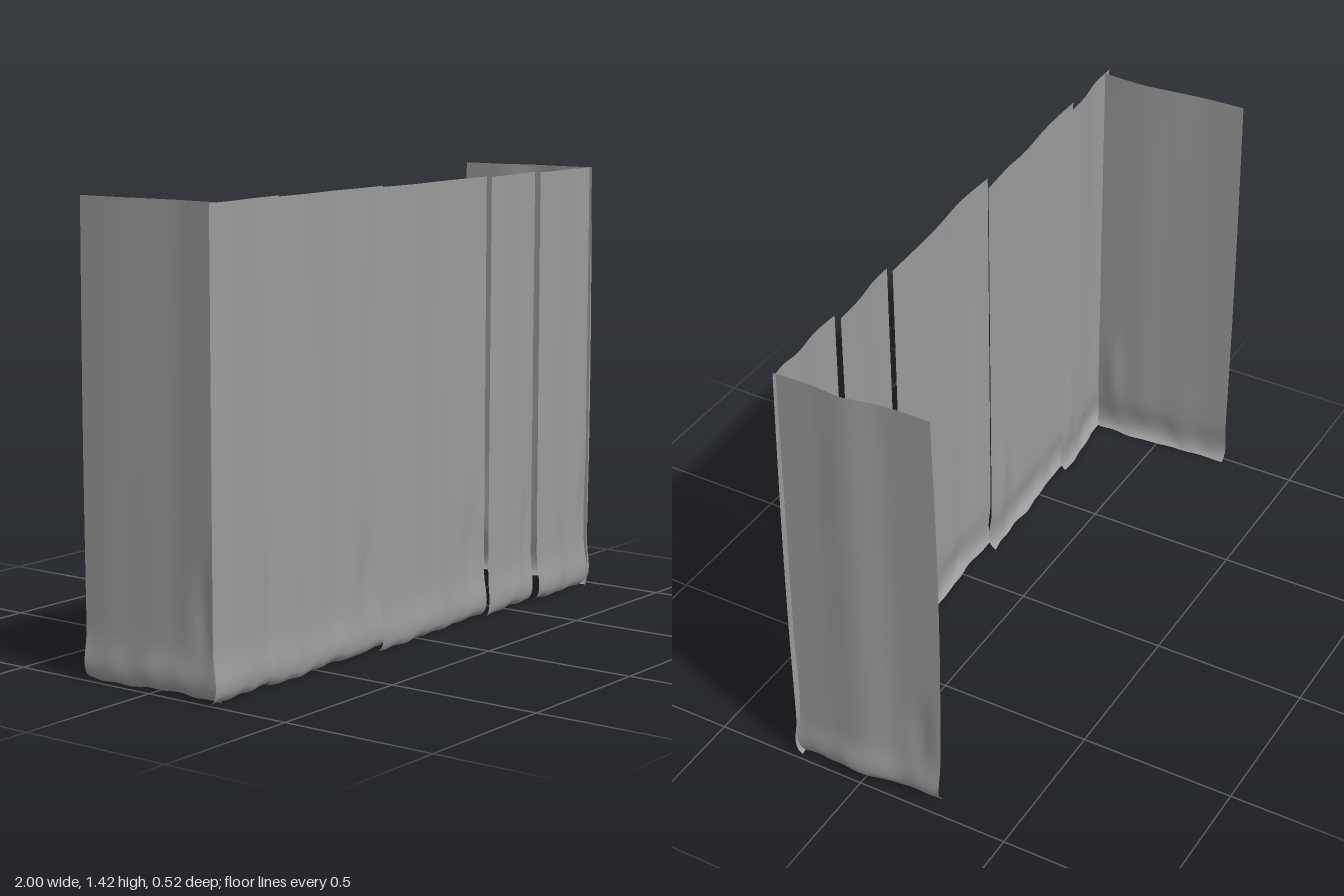
import * as THREE from 'three';

const HEIGHT = 1.42;
const material = new THREE.MeshStandardMaterial({ color: 0x9b9b9b, side: THREE.DoubleSide });

// Hanging sheet: a plan path [x, z] dropped to the floor, with folds growing downwards.
// Path runs so that its outward side is on the right hand when seen from above.
// The sags let the leading and trailing edges belly outwards halfway down.
function hangingPanel(name, points, seed, leadSag = 0, trailSag = 0) {
  const curve = new THREE.CatmullRomCurve3(points.map(([x, z]) => new THREE.Vector3(x, 0, z)));
  const along = curve.getPointAt(1).sub(curve.getPointAt(0)).normalize();
  const out = new THREE.Vector3(-along.z, 0, along.x);
  const length = curve.getLength();
  const cols = Math.max(24, Math.round(length * 90)), rows = 48;
  const geometry = new THREE.PlaneGeometry(1, 1, cols, rows);
  const pos = geometry.attributes.position;

  for (let i = 0; i < pos.count; i++) {
    const u = (i % (cols + 1)) / cols;
    const v = Math.floor(i / (cols + 1)) / rows;
    // Rows are packed closer together near the hem
    const y = HEIGHT * Math.pow(1 - v, 1.7);
    const p = curve.getPointAt(u);
    const s = u * length;

    // Soft vertical folds, strongest at the lower part
    const drop = 1 - y / HEIGHT;
    const folds = 0.6 * Math.sin(s * 17 + seed) + 0.4 * Math.sin(s * 39 + seed * 2.3);
    let offset = 0.003 * drop * folds;
    // Gathered dent above the floor, close to the trailing edge
    offset -= 0.01 * Math.exp(-(((y - 0.24) / 0.13) ** 2)) * Math.exp(-(((u - 0.87) / 0.07) ** 2));
    // Hem bulges out and then tucks under
    const bulge = 0.012 * Math.exp(-(((y - 0.05) / 0.06) ** 2));
    const tuck = 0.02 * Math.exp(-y / 0.011);
    offset += (bulge - tuck) * (0.8 + 0.2 * Math.sin(s * 19 + seed) + 0.12 * Math.sin(s * 53 + seed));

    p.addScaledVector(out, offset);
    const sag = trailSag * u ** 4 - leadSag * (1 - u) ** 4;
    p.addScaledVector(along, sag * Math.sin(Math.PI * drop));
    const hem = 0.0015 * (2 + Math.sin(s * 21 + seed) + Math.sin(s * 57 + seed)) * Math.exp(-y / 0.05);
    pos.setXYZ(i, p.x, y + hem, p.z);
  }
  geometry.computeVertexNormals();
  const mesh = new THREE.Mesh(geometry, material);
  mesh.name = name;
  return mesh;
}

export function createModel() {
  const model = new THREE.Group();
  model.name = 'curtainEnclosure';

  // Overlapping front panels: each leading edge sits in front of its neighbour
  const front = [
    [[-1, 0.242], [-0.9, 0.24], [-0.8, 0.224], [-0.66, 0.215]],
    [[-0.75, 0.24], [-0.58, 0.238], [-0.4, 0.222], [-0.3, 0.222], [-0.16, 0.212]],
    [[-0.21, 0.244], [-0.05, 0.248], [0.1, 0.234], [0.22, 0.228], [0.374, 0.224]],
    [[0.37, 0.246], [0.45, 0.243], [0.55, 0.228], [0.655, 0.222]],
    [[0.65, 0.246], [0.75, 0.248], [0.86, 0.234], [0.92, 0.238], [0.987, 0.23]],
  ];
  front.forEach((path, i) =>
    model.add(hangingPanel(`frontPanel${i + 1}`, path, i * 1.7, 0, i === 4 ? 0.011 : 0)));

  // Side walls
  model.add(hangingPanel('rightSidePanel',
    [[-0.985, -0.252], [-0.982, -0.12], [-0.97, 0], [-0.962, 0.1], [-0.968, 0.24]], 2.1, 0.004));
  model.add(hangingPanel('leftSidePanel',
    [[0.97, 0.242], [0.968, 0.12], [0.975, 0.02], [0.954, -0.1], [0.952, -0.252]], 4.2, 0, 0.012));
  return model;
}
